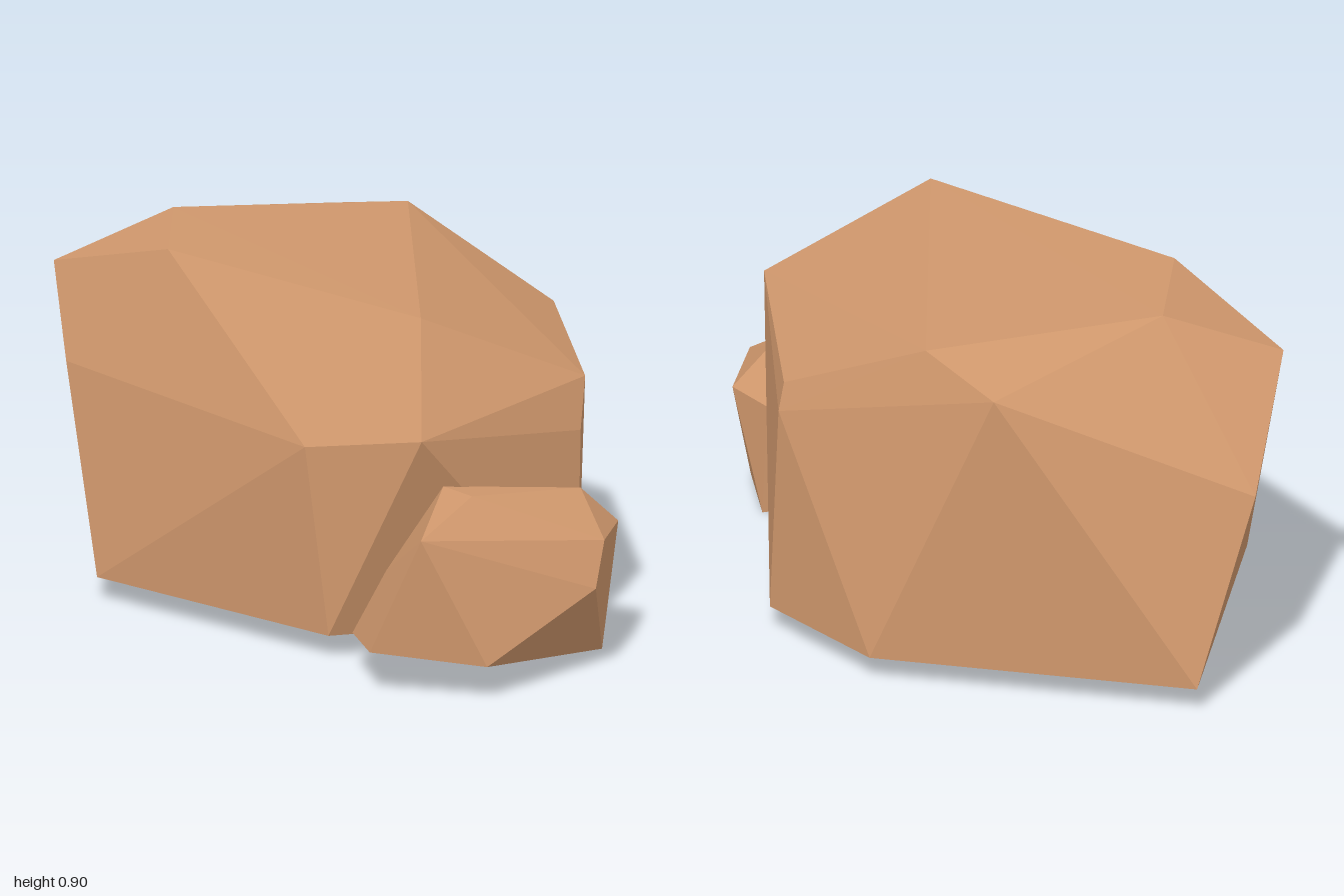
import * as THREE from 'three';
import { ConvexGeometry } from 'three/addons/geometries/ConvexGeometry.js';

const stone = new THREE.MeshStandardMaterial({ color: 0xcf976c });
stone.name = 'sandstone';

// A faceted rock: the convex hull of a few corner points
function rock(name, corners) {
  const points = corners.map((c) => new THREE.Vector3(...c));
  const mesh = new THREE.Mesh(new ConvexGeometry(points), stone);
  mesh.name = name;
  return mesh;
}

export function createModel() {
  const group = new THREE.Group();
  group.name = 'rocks';

  group.add(rock('largeRock', [
    // flat base
    [-1, 0.06, -0.07], [-0.33, 0.06, -0.61], [0.09, 0.06, -0.61],
    [0.72, 0.06, -0.12], [0.45, 0.06, 0.48], [-0.33, 0.06, 0.6],
    // shoulders
    [-0.97, 0.53, 0.14], [-0.72, 0.78, 0.42], [-0.55, 0.57, 0.52],
    [0.38, 0.55, 0.5], [0.69, 0.61, 0.37], [0.71, 0.55, -0.14],
    [0.68, 0.68, -0.18], [0.09, 0.67, -0.565], [0.08, 0.6, -0.59],
    // top
    [-0.58, 0.9, 0.14], [-0.3, 0.9, 0.39], [0.53, 0.878, 0.24],
    [-0.33, 0.865, -0.43], [-0.59, 0.805, -0.41],
  ]));

  group.add(rock('smallRock', [
    // sloping base
    [0.7, 0, -0.17], [0.88, 0.02, -0.07], [1, 0.09, 0.41],
    [0.76, 0.11, 0.6], [0.57, 0.1, 0.5], [0.52, 0.09, 0.44], [0.46, 0.06, 0.15],
    // sides
    [0.56, 0.24, 0.38], [1, 0.23, 0.05], [0.95, 0.335, -0.02],
    [0.8, 0.32, -0.19], [0.68, 0.3, -0.17],
    // top
    [0.68, 0.475, 0.29], [0.77, 0.465, 0.27], [0.88, 0.42, 0.53], [0.77, 0.42, -0.09],
  ]));

  return group;
}
